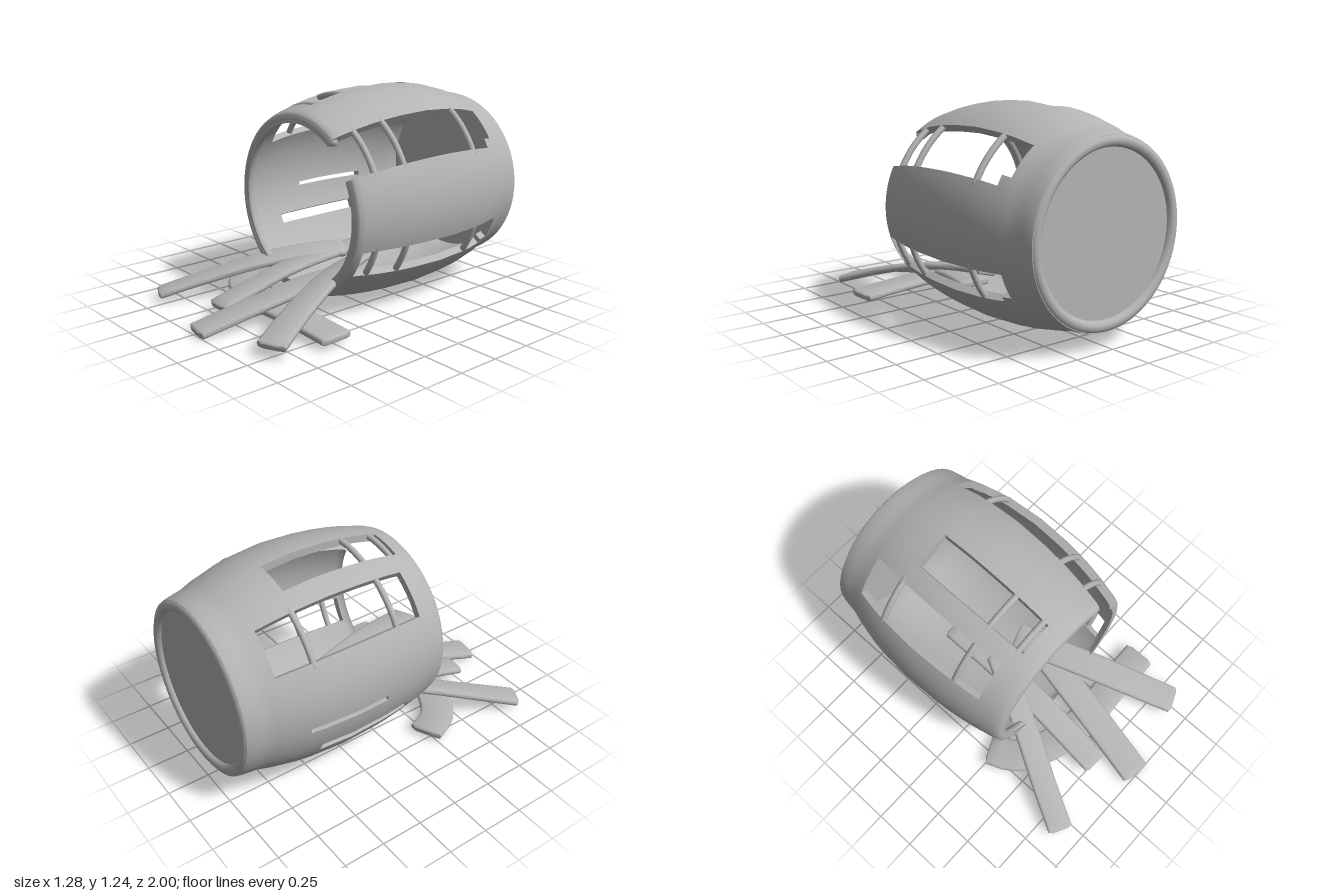
import * as THREE from 'three';
import { toCreasedNormals } from 'three/addons/utils/BufferGeometryUtils.js';

const CX = 0.03, STEP = 3, THICK = 0.045;

// Barrel outline: [z, outer radius]
const PROFILE = [[0.31, 0.515], [0.3, 0.528], [0.27, 0.54], [0.2, 0.556], [0.1, 0.58], [-0.1, 0.607], [-0.35, 0.616],
  [-0.6, 0.598], [-0.78, 0.557], [-0.86, 0.532], [-0.94, 0.52], [-0.98, 0.512], [-1, 0.5]];
const ROWS = [0.31, 0.3, 0.27, 0.2, 0.14, 0.05, -0.04, -0.15, -0.25, -0.35, -0.45, -0.55, -0.64, -0.72, -0.78,
  -0.82, -0.86, -0.9, -0.94, -0.97, -0.985];

// Broken openings: start angle, end angle (degrees from +x), front z, back z, hoop positions
const HOLES = [
  { a: 90, b: 111, z0: 0.2, z1: -0.55, bars: [0.165, -0.03] },
  { a: 123, b: 150, z0: 0.14, z1: -0.78, bars: [-0.03, -0.57] },
  { a: 27, b: 54, z0: 0.31, z1: -0.72, bars: [0.17, -0.02, -0.57] },
  { a: 33, b: 54, z0: -0.7, z1: -0.78, bars: [] },
  { a: 324, b: 342, z0: 0.27, z1: -0.72, bars: [0.18, -0.02, -0.57] },
  { a: 327, b: 342, z0: -0.7, z1: -0.78, bars: [] },
  { a: 186, b: 189, z0: -0.15, z1: -0.64, bars: [] },
  { a: 204, b: 210, z0: 0.05, z1: -0.55, bars: [] },
];

function radiusAt(z) {
  for (let i = 1; i < PROFILE.length; i++) {
    const [z0, r0] = PROFILE[i - 1], [z1, r1] = PROFILE[i];
    if (z >= z1) return r0 + (r1 - r0) * (z0 - z) / (z0 - z1);
  }
  return PROFILE[PROFILE.length - 1][1];
}

// The barrel's axis sags a little towards both ends
const centreY = z => 0.63 - 0.02 * ((z + 0.35) / 0.65) ** 2;

// Thick curved wall with the openings left out and their edges closed
function shellGeometry() {
  const n = 360 / STEP, pos = [];
  const point = (i, j, inner) => {
    const t = THREE.MathUtils.degToRad(i * STEP), z = ROWS[j];
    const r = radiusAt(z) - (inner ? THICK : 0);
    return [CX + r * Math.cos(t), centreY(z) + r * Math.sin(t), z];
  };
  const quad = (a, b, c, d) => pos.push(...a, ...b, ...c, ...a, ...c, ...d);
  const solid = (i, j) => {
    if (j < 0 || j >= ROWS.length - 1) return false;
    const ang = (((i + n) % n) + 0.5) * STEP, z = (ROWS[j] + ROWS[j + 1]) / 2;
    return !HOLES.some(h => ang > h.a && ang < h.b && z < h.z0 && z > h.z1);
  };
  for (let i = 0; i < n; i++) for (let j = 0; j < ROWS.length - 1; j++) {
    if (!solid(i, j)) continue;
    const o = [point(i, j), point(i + 1, j), point(i + 1, j + 1), point(i, j + 1)];
    const k = [point(i, j, 1), point(i + 1, j, 1), point(i + 1, j + 1, 1), point(i, j + 1, 1)];
    quad(o[0], o[3], o[2], o[1]);
    quad(k[0], k[1], k[2], k[3]);
    if (!solid(i, j - 1)) quad(o[0], o[1], k[1], k[0]);
    if (!solid(i, j + 1)) quad(o[2], o[3], k[3], k[2]);
    if (!solid(i - 1, j)) quad(o[3], o[0], k[0], k[3]);
    if (!solid(i + 1, j)) quad(o[1], o[2], k[2], k[1]);
  }
  const g = new THREE.BufferGeometry();
  g.setAttribute('position', new THREE.Float32BufferAttribute(pos, 3));
  return toCreasedNormals(g, 0.7);
}

// Bent board with a rounded section swept along a curve; its twist fades out towards the tip
function plankGeometry(points, width, roll = 0, thick = 0.04) {
  const curve = new THREE.CatmullRomCurve3(points.map(p => new THREE.Vector3(...p)));
  const section = [], up = new THREE.Vector3(0, 1, 0), pos = [], idx = [];
  for (const [sx, sy, a0] of [[1, 1, 0], [-1, 1, 90], [-1, -1, 180], [1, -1, 270]])
    for (const d of [0, 45, 90]) {
      const a = THREE.MathUtils.degToRad(a0 + d), r = thick * 0.4;
      section.push([sx * (width / 2 - r) + r * Math.cos(a), sy * (thick / 2 - r) + r * Math.sin(a)]);
    }
  const N = 24, m = section.length;
  const ring = (t, s) => {
    const c = curve.getPointAt(t), dir = curve.getTangentAt(t);
    const side = new THREE.Vector3().crossVectors(up, dir).normalize().applyAxisAngle(dir, roll * (1 - t));
    const top = new THREE.Vector3().crossVectors(dir, side);
    for (const [x, y] of section) {
      const p = c.clone().addScaledVector(side, x * (s < 1 ? 0.97 * s : 1)).addScaledVector(top, y * s);
      pos.push(p.x, p.y, p.z);
    }
  };
  ring(0, 0); ring(0, 0.7);
  for (let i = 0; i <= N; i++) ring(0.01 + 0.98 * i / N, 1);
  ring(1, 0.7); ring(1, 0);
  for (let i = 0; i < N + 4; i++) for (let j = 0; j < m; j++) {
    const a = i * m + j, b = i * m + (j + 1) % m;
    idx.push(a, b, b + m, a, b + m, a + m);
  }
  const g = new THREE.BufferGeometry();
  g.setAttribute('position', new THREE.Float32BufferAttribute(pos, 3));
  g.setIndex(idx);
  return toCreasedNormals(g, 0.9);
}

export function createModel() {
  const model = new THREE.Group();
  const grey = new THREE.MeshStandardMaterial({ color: 0xb4b4b4 });
  grey.name = 'plainGrey';
  const add = (name, geo, parent = model) => {
    const mesh = new THREE.Mesh(geo, grey);
    mesh.name = name;
    parent.add(mesh);
    return mesh;
  };

  // Barrel body
  add('barrelWall', shellGeometry());

  // Round bars following the barrel circumference
  const arc = (name, a, b, z, r, tube, parent = model) => {
    const len = THREE.MathUtils.degToRad(b - a);
    const mesh = add(name, new THREE.TorusGeometry(r, tube, 10, Math.ceil((b - a) / 3), len), parent);
    mesh.position.set(CX, centreY(z), z);
    mesh.rotation.z = THREE.MathUtils.degToRad(a);
    for (const t of b - a < 360 ? [0, len] : []) {
      const end = add(name + 'End', new THREE.SphereGeometry(tube, 10, 8), mesh);
      end.position.set(r * Math.cos(t), r * Math.sin(t), 0);
    }
  };
  const hoops = new THREE.Group();
  hoops.name = 'exposedHoops';
  model.add(hoops);
  for (const h of HOLES) for (const z of h.bars) arc('hoop', h.a - 2, h.b + 2, z, radiusAt(z) - 0.016, 0.018, hoops);

  // Front and back rims
  arc('frontRim', 55, 232, 0.285, 0.497, 0.028);
  arc('backRim', 0, 360, -0.965, 0.478, 0.034);

  // Closed back end
  const lid = add('backLid', new THREE.CylinderGeometry(0.48, 0.48, 0.04, 64));
  lid.rotation.x = Math.PI / 2;
  lid.position.set(CX, centreY(-0.95), -0.95);

  // Boards spilling out of the mouth
  const planks = new THREE.Group();
  planks.name = 'spilledPlanks';
  model.add(planks);
  add('leftArchPlank', plankGeometry([[-0.05, 0.25, -0.12], [-0.16, 0.245, 0.1], [-0.28, 0.21, 0.33], [-0.44, 0.13, 0.62], [-0.575, 0.05, 0.88]], 0.15, -0.3), planks);
  add('rightArchPlank', plankGeometry([[0.13, 0.25, -0.12], [0.2, 0.245, 0.1], [0.29, 0.22, 0.33], [0.41, 0.15, 0.62], [0.52, 0.07, 0.87]], 0.17, 0.3), planks);
  add('shortPlank', plankGeometry([[-0.09, 0.24, -0.46], [-0.09, 0.23, 0], [-0.1, 0.19, 0.32], [-0.11, 0.13, 0.55], [-0.12, 0.07, 0.77]], 0.16), planks);
  add('longPlank', plankGeometry([[0.21, 0.19, -0.1], [0.17, 0.19, 0.1], [0.125, 0.165, 0.34], [0.07, 0.1, 0.66], [0.01, 0.022, 0.995]], 0.18, -0.08), planks);
  add('crossPlank', plankGeometry([[-0.49, 0.045, 0.21], [-0.42, 0.055, 0.36], [-0.22, 0.065, 0.48], [0.03, 0.075, 0.53], [0.32, 0.07, 0.52], [0.625, 0.05, 0.51]], 0.2), planks);
  return model;
}
